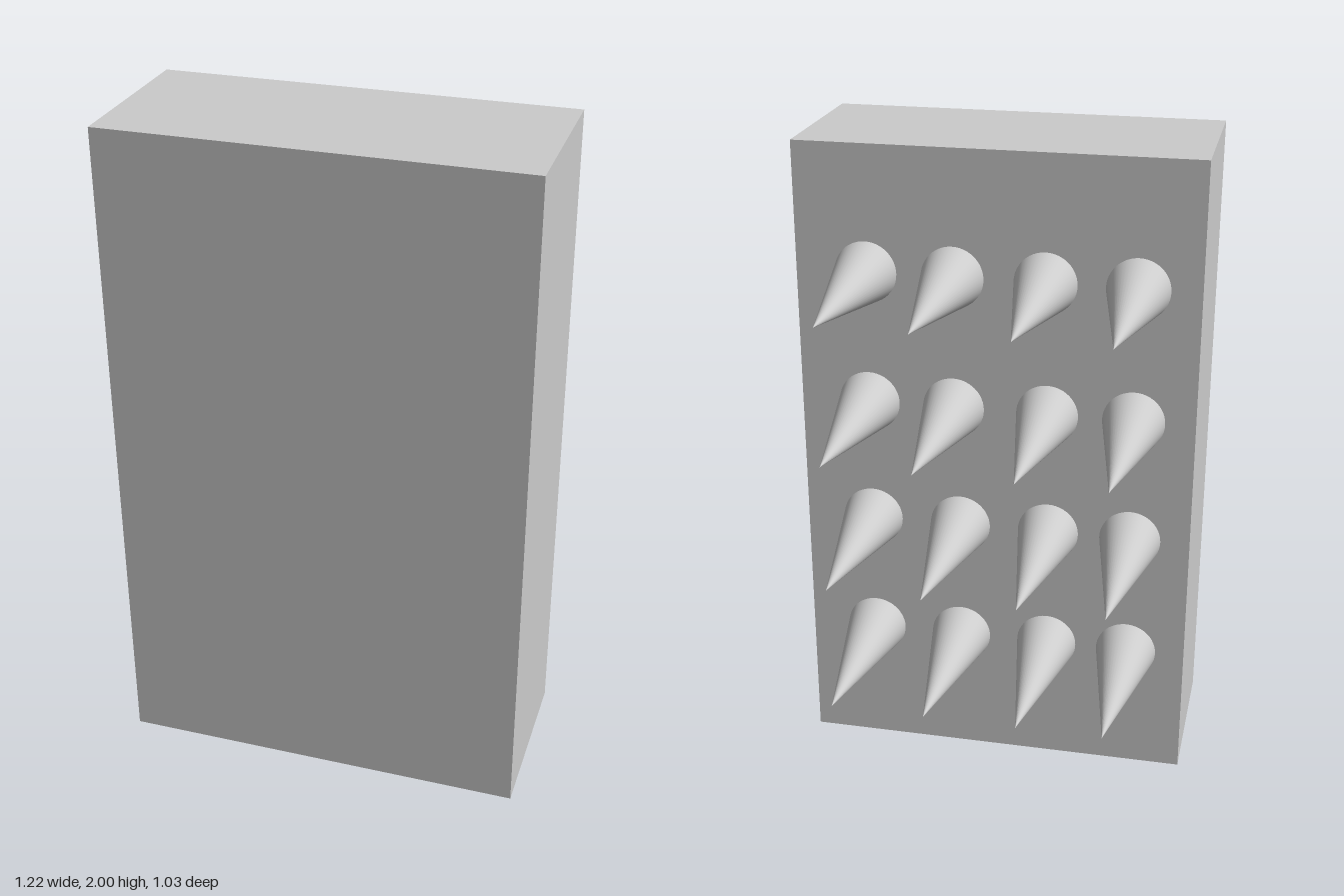
import * as THREE from 'three';

export function createModel() {
  const group = new THREE.Group();
  const material = new THREE.MeshStandardMaterial({ color: 0xcccccc });

  // Solid upright slab
  const faceZ = -0.006, frontZ = 0.515;
  const slab = new THREE.Mesh(new THREE.BoxGeometry(1.22, 2, frontZ - faceZ), material);
  slab.name = 'slab';
  slab.position.set(0, 1, (frontZ + faceZ) / 2);
  group.add(slab);

  // Spikes on the back face, slightly uneven in their columns
  const length = 0.509;
  const spikeGeometry = new THREE.ConeGeometry(0.095, length, 48);
  spikeGeometry.rotateX(-Math.PI / 2);
  spikeGeometry.translate(0, 0, faceZ - length / 2);
  const rows = [
    { y: 1.613, xs: [-0.423, -0.15, 0.13, 0.395] },
    { y: 1.2, xs: [-0.423, -0.16, 0.13, 0.395] },
    { y: 0.806, xs: [-0.425, -0.168, 0.112, 0.395] },
    { y: 0.411, xs: [-0.425, -0.168, 0.112, 0.395] },
  ];
  const spikes = new THREE.Group();
  spikes.name = 'spikes';
  rows.forEach(({ y, xs }, r) => xs.forEach((x, c) => {
    const spike = new THREE.Mesh(spikeGeometry, material);
    spike.name = `spikeRow${r + 1}Column${c + 1}`;
    spike.position.set(x, y, 0);
    spikes.add(spike);
  }));
  group.add(spikes);

  return group;
}
